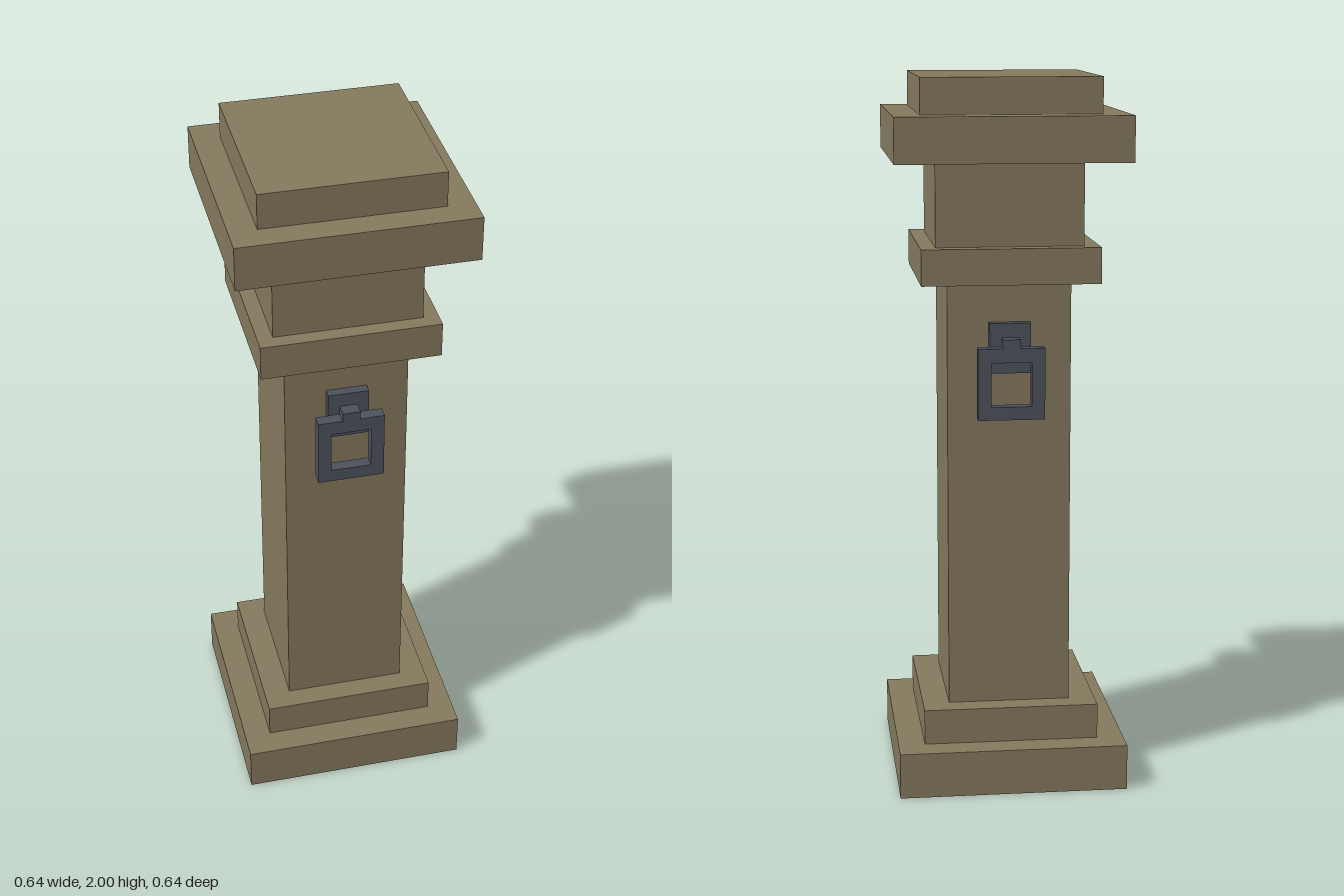
import * as THREE from 'three';

export function createModel() {
  const model = new THREE.Group();
  model.name = 'stonePillar';
  const stone = new THREE.MeshStandardMaterial({ color: 0x857a5e, side: THREE.DoubleSide });
  stone.name = 'weathered stone';
  const iron = new THREE.MeshStandardMaterial({ color: 0x4d525d });
  iron.name = 'dark iron';

  // Box spanning y0..y1, centred on x, with its z centre given
  function addBox(parent, name, material, w, d, y0, y1, z = 0) {
    const mesh = new THREE.Mesh(new THREE.BoxGeometry(w, y1 - y0, d), material);
    mesh.name = name;
    mesh.position.set(0, (y0 + y1) / 2, z);
    parent.add(mesh);
    return mesh;
  }

  // Stacked masonry blocks: name, width, depth, bottom, top
  const blocks = [
    ['base', 0.645, 0.645, 0, 0.13],
    ['baseStep', 0.495, 0.495, 0.13, 0.23],
    ['shaft', 0.345, 0.37, 0.23, 1.44],
    ['collar', 0.495, 0.495, 1.44, 1.54],
    ['neck', 0.41, 0.41, 1.54, 1.775],
    ['capital', 0.645, 0.645, 1.775, 1.9],
    ['capStep', 0.495, 0.495, 1.9, 2],
  ];
  for (const [name, w, d, y0, y1] of blocks) {
    const mesh = addBox(model, name, stone, w, d, y0, y1);
    // The base is hollow and open underneath: drop its bottom face
    if (name === 'base') {
      const index = Array.from(mesh.geometry.index.array);
      index.splice(18, 6);
      mesh.geometry.setIndex(index);
      mesh.geometry.clearGroups();
    }
  }

  // Square ring with a square opening
  function ringGeometry() {
    const rect = (path, x, y0, y1) =>
      path.moveTo(-x, y0).lineTo(x, y0).lineTo(x, y1).lineTo(-x, y1).closePath();
    const outline = new THREE.Shape();
    rect(outline, 0.093, 1.065, 1.265);
    const hole = new THREE.Path();
    rect(hole, 0.056, 1.102, 1.225);
    outline.holes.push(hole);
    return new THREE.ExtrudeGeometry(outline, { depth: 0.034, bevelEnabled: false });
  }

  // A hanging ring on the front and on the back
  for (const [name, turn] of [['frontTether', 0], ['backTether', Math.PI]]) {
    const tether = new THREE.Group();
    tether.name = name;
    tether.rotation.y = turn;
    addBox(tether, 'wallPlate', iron, 0.114, 0.03, 1.19, 1.33, 0.197);
    addBox(tether, 'ringLug', iron, 0.05, 0.04, 1.262, 1.29, 0.228);
    const ring = new THREE.Mesh(ringGeometry(), iron);
    ring.name = 'squareRing';
    ring.position.z = 0.213;
    tether.add(ring);
    model.add(tether);
  }
  return model;
}
